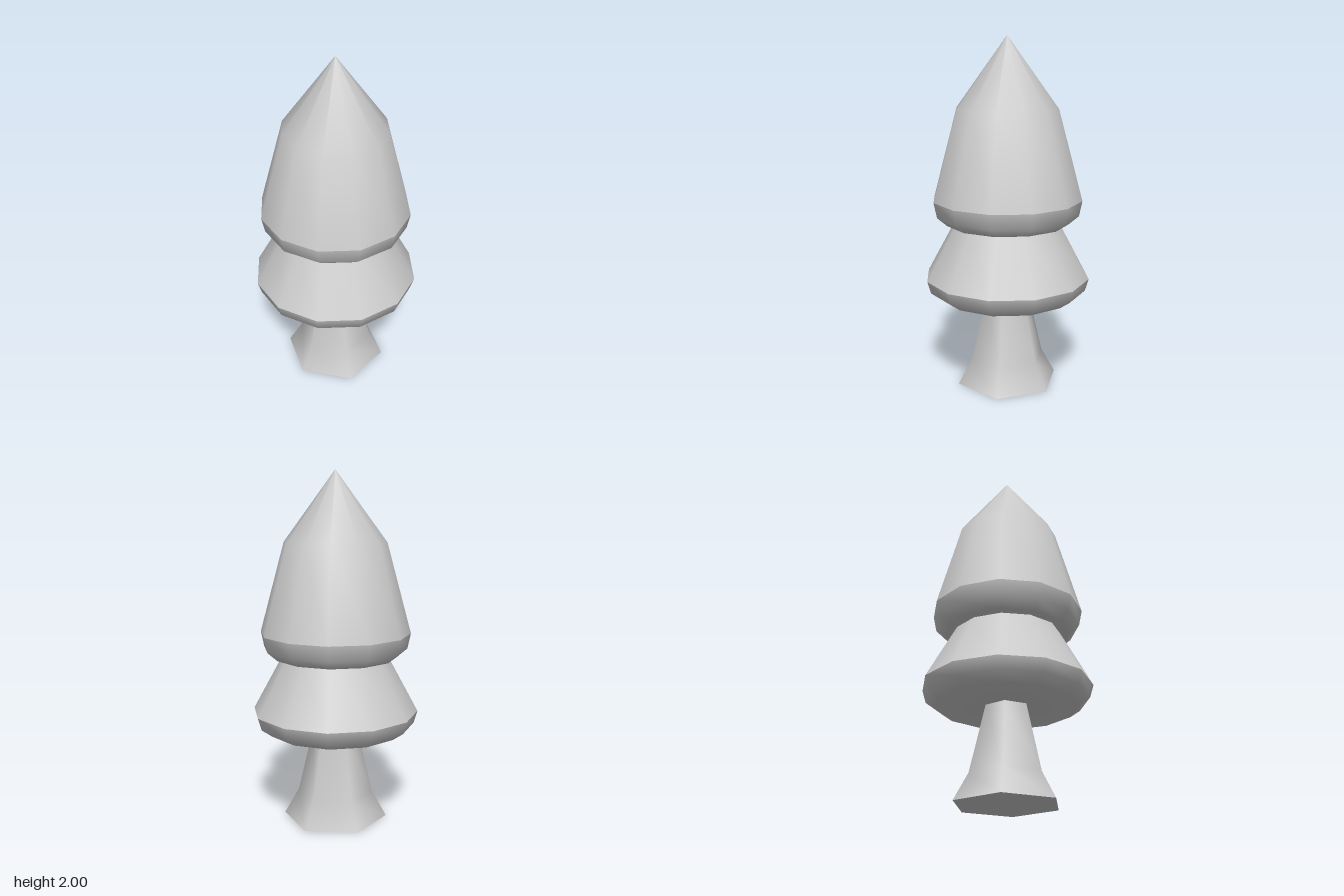
import * as THREE from 'three';

const material = new THREE.MeshStandardMaterial({ color: 0xcccccc });

// Revolve a bottom-to-top [radius, height] profile; corners lie on the x axis.
function turned(name, profile, sides) {
  const points = profile.map(([r, y]) => new THREE.Vector2(r, y));
  const mesh = new THREE.Mesh(new THREE.LatheGeometry(points, sides, Math.PI / 2), material);
  mesh.name = name;
  return mesh;
}

// A foliage tier: rounded underside and sloping top, with a sharp rim between them.
function tier(name, underside, top) {
  const group = new THREE.Group();
  group.name = name;
  group.add(turned(name + 'Underside', underside, 12), turned(name + 'Top', top, 12));
  return group;
}

export function createModel() {
  const tree = new THREE.Group();
  tree.name = 'tree';

  // Six-sided trunk with flared foot and flat base
  tree.add(turned('trunk', [[0.3, 0], [0.217, 0.15], [0.127, 0.53]], 6));
  tree.add(turned('trunkBase', [[0, 0], [0.3, 0]], 6));

  // Wide lower tier
  tree.add(tier('lowerFoliage',
    [[0, 0.53], [0.39, 0.53], [0.453, 0.575], [0.474, 0.645]],
    [[0.474, 0.645], [0.303, 0.96]]));

  // Tall pointed upper tier
  tree.add(tier('upperFoliage',
    [[0, 0.96], [0.352, 0.96], [0.41, 1.01], [0.428, 1.097]],
    [[0.428, 1.097], [0.29, 1.605], [0, 2]]));

  return tree;
}
